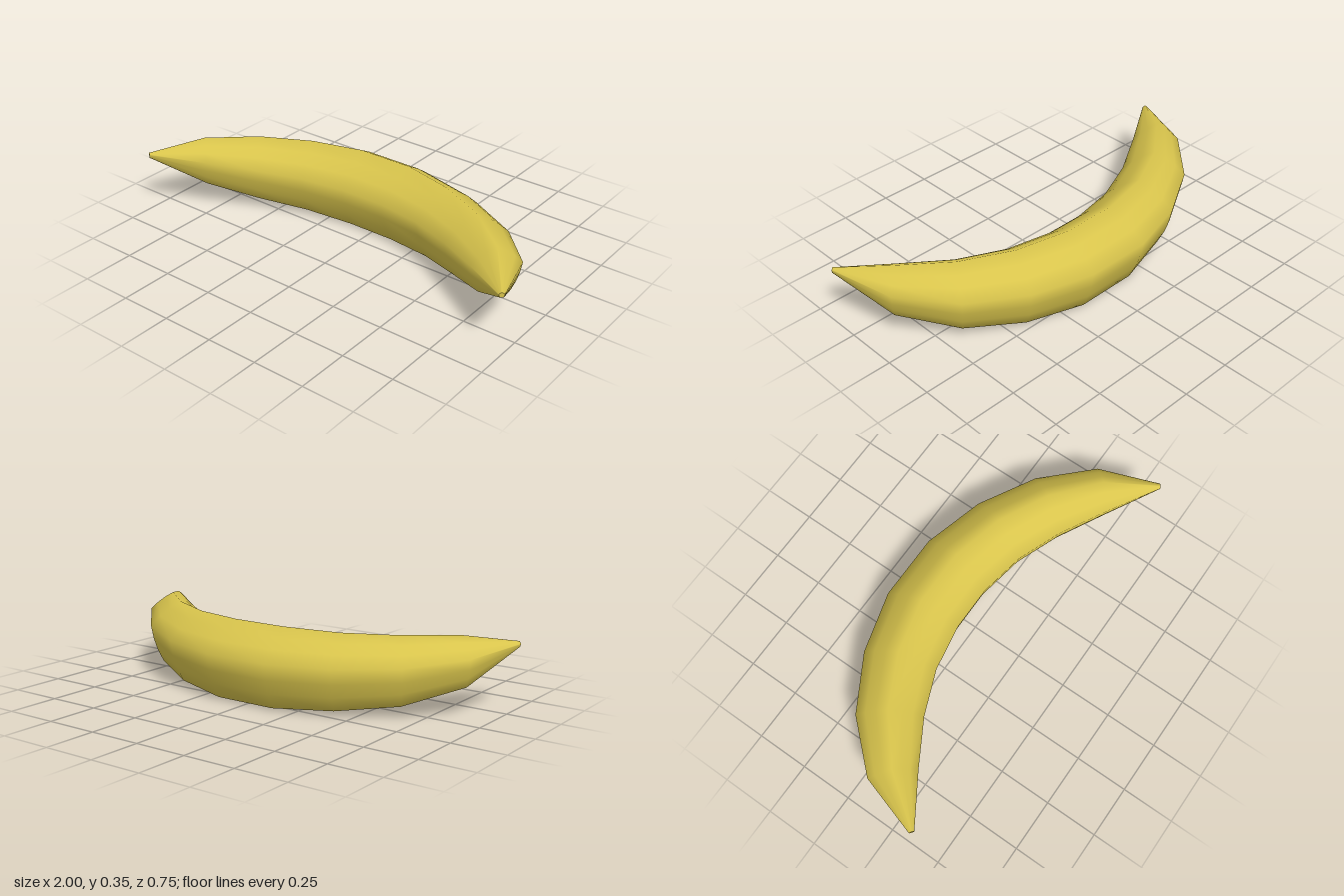
import * as THREE from 'three';

const SIDES = 15; // five ridges, each face bulged by two points between ridges

// One half of the fruit: centre x, y, z, ridge radius, turn of the ring in degrees
const HALF = [
  [0.135, 0.165, -0.2, 0.19, 8],
  [0.39, 0.173, -0.14, 0.178, 21],
  [0.625, 0.19, -0.023, 0.16, 34],
  [0.83, 0.229, 0.148, 0.118, 46],
  [0.99, 0.29, 0.366, 0.013, 54],
];

// Ridged five-sided cross-section, turned about the vertical
function ring([x, y, z, radius, turn]) {
  const t = THREE.MathUtils.degToRad(turn);
  const points = [];
  for (let j = 0; j < SIDES; j++) {
    const a = (j / SIDES) * Math.PI * 2;
    const r = radius * (j % 3 === 0 ? 1 : 0.88);
    const out = Math.sin(a) * r;
    points.push(x + Math.sin(t) * out, y + Math.cos(a) * r, z - Math.cos(t) * out);
  }
  return points;
}

function build(positions, indices) {
  const geometry = new THREE.BufferGeometry();
  geometry.setAttribute('position', new THREE.Float32BufferAttribute(positions, 3));
  geometry.setIndex(indices);
  geometry.computeVertexNormals();
  return geometry;
}

// Skin lofted through all the rings
function skinGeometry(sections) {
  const indices = [];
  for (let i = 0; i < sections.length - 1; i++) {
    for (let j = 0; j < SIDES; j++) {
      const k = (j + 1) % SIDES;
      const a = i * SIDES + j, b = i * SIDES + k;
      indices.push(a, a + SIDES, b, b, a + SIDES, b + SIDES);
    }
  }
  return build(sections.flatMap(ring), indices);
}

// Small flat cap that closes a tip
function capGeometry(section, isLeft) {
  const indices = [];
  for (let j = 0; j < SIDES; j++) {
    const k = (j + 1) % SIDES;
    indices.push(SIDES, isLeft ? k : j, isLeft ? j : k);
  }
  return build([...ring(section), ...section.slice(0, 3)], indices);
}

export function createModel() {
  const group = new THREE.Group();
  group.name = 'banana';
  const yellow = new THREE.MeshStandardMaterial({ color: 0xd8c44c });
  yellow.name = 'bananaYellow';

  const mirrored = HALF.map(([x, y, z, r, t]) => [-x, y, z, r, -t]).reverse();
  const sections = [...mirrored, ...HALF];

  const add = (name, geometry) => {
    const mesh = new THREE.Mesh(geometry, yellow);
    mesh.name = name;
    group.add(mesh);
  };
  add('peel', skinGeometry(sections));
  add('rightTip', capGeometry(sections[0], false));
  add('leftTip', capGeometry(sections[sections.length - 1], true));
  return group;
}
